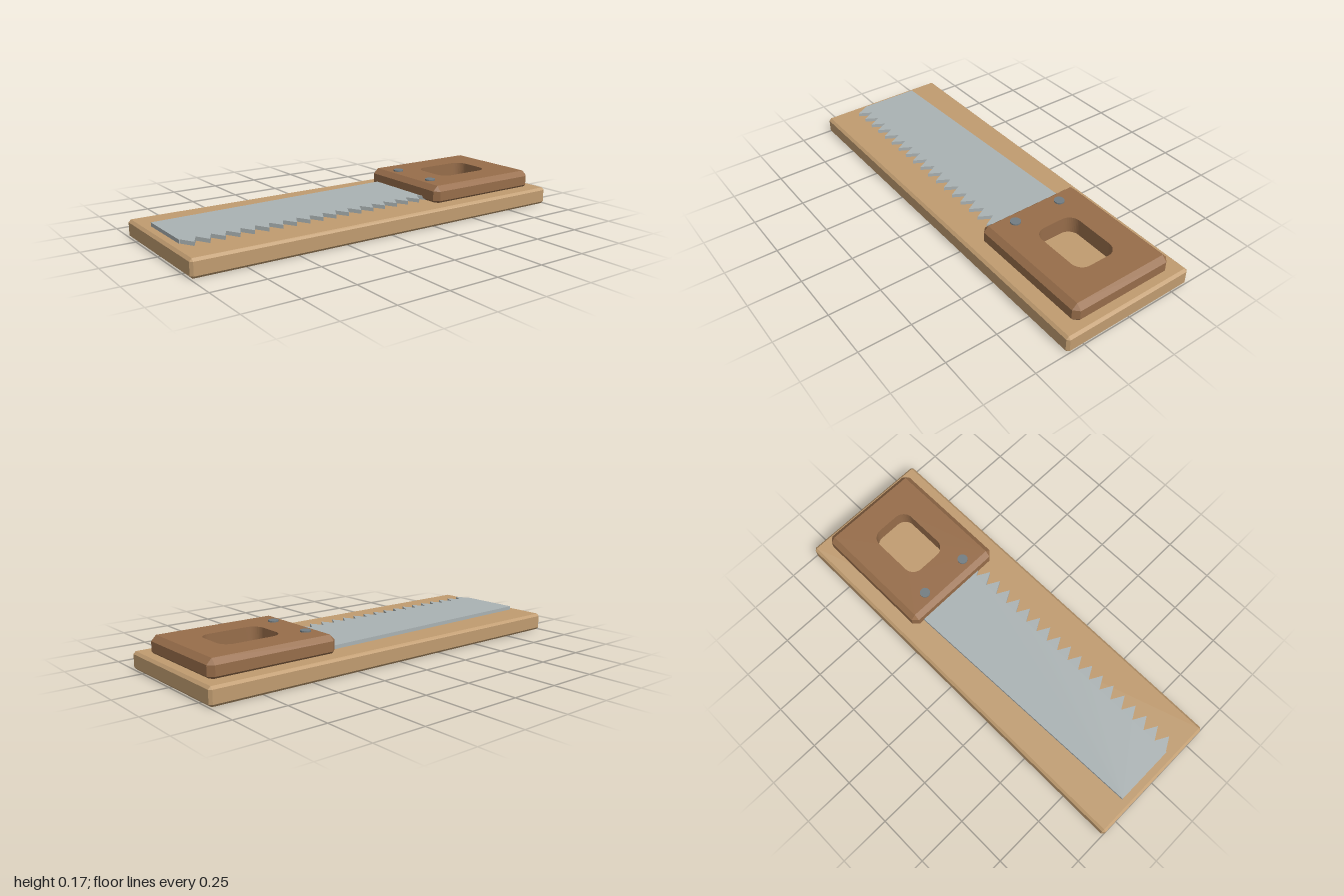
import * as THREE from 'three';

const mat = (color) => new THREE.MeshStandardMaterial({ color, flatShading: true });

function addMesh(group, name, geometry, material, x = 0, y = 0, z = 0) {
  const mesh = new THREE.Mesh(geometry, material);
  mesh.name = name;
  mesh.position.set(x, y, z);
  group.add(mesh);
  return mesh;
}

// Block with every edge chamfered by b; an optional hole keeps straight walls
function chamferedBlock(w, h, d, b, hole) {
  const hx = w / 2, hz = d / 2;
  const shape = new THREE.Shape([
    [hx, -hz + b], [hx, hz - b], [hx - b, hz], [-hx + b, hz],
    [-hx, hz - b], [-hx, -hz + b], [-hx + b, -hz], [hx - b, -hz],
  ].map(([x, y]) => new THREE.Vector2(x, y)));
  if (hole) shape.holes.push(hole);
  const geo = new THREE.ExtrudeGeometry(shape, { depth: 3, steps: 3, bevelEnabled: false, curveSegments: 5 });
  const levels = [0, b, h - b, h];
  const p = geo.attributes.position;
  for (let i = 0; i < p.count; i++) {
    const level = Math.round(p.getZ(i));
    // pull the outline inward on the top and bottom faces
    if (level === 0 || level === 3) {
      p.setX(i, THREE.MathUtils.clamp(p.getX(i), b - hx, hx - b));
      p.setY(i, THREE.MathUtils.clamp(p.getY(i), b - hz, hz - b));
    }
    p.setZ(i, levels[level]);
  }
  geo.rotateX(-Math.PI / 2);
  geo.computeVertexNormals();
  return geo;
}

// Rounded rectangle outline centred on (cx, 0)
function roundedRect(cx, w, d, r) {
  const x = w / 2, y = d / 2, path = new THREE.Path();
  path.absarc(cx + x - r, y - r, r, 0, Math.PI / 2);
  path.absarc(cx - x + r, y - r, r, Math.PI / 2, Math.PI);
  path.absarc(cx - x + r, -y + r, r, Math.PI, Math.PI * 1.5);
  path.absarc(cx + x - r, -y + r, r, Math.PI * 1.5, Math.PI * 2);
  path.closePath();
  return path;
}

// Tapered blade with a row of teeth along its front edge
function bladeGeometry() {
  const shape = new THREE.Shape();
  const start = -0.95, pitch = 0.0695, teeth = 19;
  shape.moveTo(-0.955, 0.172);
  shape.lineTo(-0.955, -0.132);
  for (let i = 0; i < teeth; i++) {
    const x = start + i * pitch;
    shape.lineTo(x, -0.132);
    shape.lineTo(x + pitch / 2, -0.195);
  }
  const end = start + teeth * pitch;
  shape.lineTo(end, -0.132);
  shape.lineTo(end, 0.212);
  shape.closePath();
  const geo = new THREE.ExtrudeGeometry(shape, { depth: 0.022, bevelEnabled: false });
  return geo.rotateX(-Math.PI / 2);
}

export function createModel() {
  const group = new THREE.Group();
  group.name = 'sawOnBoard';

  const boardWood = mat(0xc09c70);
  const handleWood = mat(0x976d4a);
  const steel = mat(0xaab2b3);
  const rivetSteel = mat(0x727d83);

  // Backing board
  addMesh(group, 'board', chamferedBlock(2, 0.085, 0.68, 0.012), boardWood);

  // Blade
  addMesh(group, 'blade', bladeGeometry(), steel, 0, 0.081, 0);

  // Handle with grip opening, slightly sunk into the board
  const grip = roundedRect(0.012, 0.3, 0.216, 0.055);
  addMesh(group, 'handle', chamferedBlock(0.638, 0.097, 0.53, 0.025, grip), handleWood, 0.635, 0.07, 0);

  // Rivets
  for (const side of [-1, 1]) {
    addMesh(group, 'rivet', new THREE.CylinderGeometry(0.025, 0.025, 0.02, 14), rivetSteel, 0.39, 0.164, side * 0.127);
  }
  return group;
}
